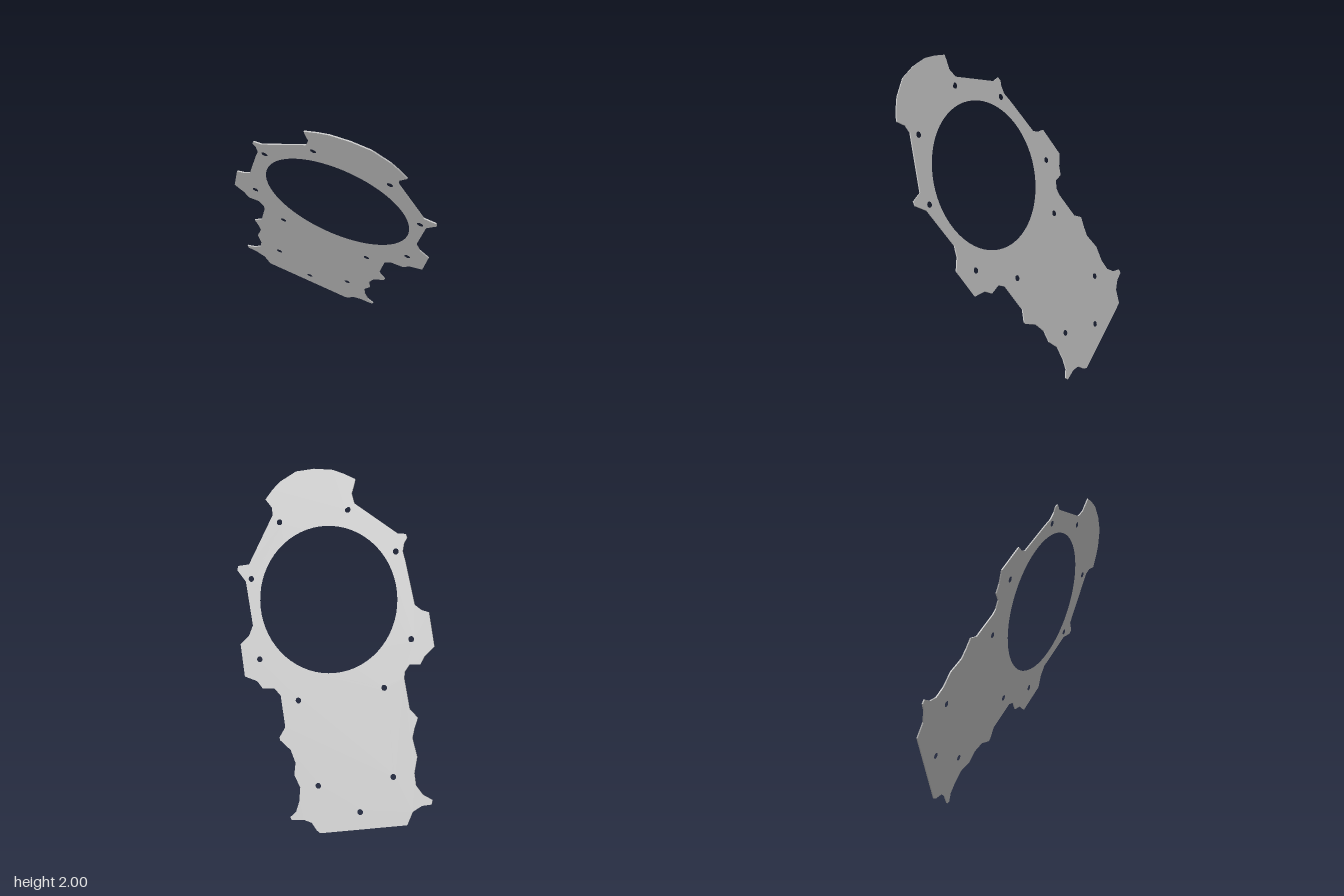
import * as THREE from 'three';

const THICKNESS = 0.008;

// Outline as (z, y) pairs on the tilted plane, running from the top edge down the rear side
const OUTLINE = [
  0.456, 2.0, 0.39, 1.99, 0.31, 1.97, 0.305, 1.94, 0.30, 1.89, 0.265, 1.84,
  -0.03, 1.72, -0.075, 1.725, -0.09, 1.705, -0.085, 1.675, -0.095, 1.63, -0.13, 1.58,
  -0.27, 1.36, -0.315, 1.34, -0.36, 1.335, -0.46, 1.16, -0.43, 1.10, -0.425, 1.05,
  -0.37, 1.04, -0.36, 0.995, -0.37, 0.96, -0.465, 0.80, -0.525, 0.765, -0.53, 0.705,
  -0.54, 0.65, -0.605, 0.555, -0.625, 0.465, -0.66, 0.40, -0.715, 0.36, -0.775, 0.345,
  -0.78, 0.32, -0.735, 0.30, -0.70, 0.255, -0.70, 0.175, -0.26, 0.005, -0.235, 0.015,
  -0.19, 0.05, -0.14, 0.055, -0.075, 0.035, -0.06, 0.05, -0.08, 0.09, -0.075, 0.15,
  -0.05, 0.23, 0.01, 0.29, 0.03, 0.36, 0.085, 0.425, 0.165, 0.465, 0.175, 0.48,
  0.165, 0.545, 0.26, 0.715, 0.31, 0.745, 0.375, 0.73, 0.425, 0.765, 0.505, 0.775,
  0.60, 0.95, 0.57, 1.01, 0.57, 1.07, 0.705, 1.305, 0.78, 1.36, 0.785, 1.385,
  0.725, 1.405, 0.695, 1.70, 0.715, 1.74, 0.77, 1.78, 0.75, 1.84, 0.725, 1.89,
  0.655, 1.96, 0.56, 1.99,
];

// Bolt hole centres as [z, y]
const BOLT_HOLES = [
  [0.287, 1.80], [0.64, 1.668], [-0.06, 1.623], [0.68, 1.327], [-0.325, 1.175], [0.457, 0.89],
  [-0.287, 0.885], [0.15, 0.71], [-0.525, 0.417], [-0.145, 0.265], [-0.427, 0.18],
];

// Tilted plane: x = 0.5025 - 0.53 y + 0.514 z
const normal = new THREE.Vector3(1, 0.53, -0.514).normalize();
const axisU = new THREE.Vector3(0, 1, 0).cross(normal).normalize();
const axisV = normal.clone().cross(axisU);
const origin = new THREE.Vector3(0.5025, 0, 0);

function toPlane(z, y) {
  const p = new THREE.Vector3(-0.53 * y + 0.514 * z, y, z);
  return new THREE.Vector2(p.dot(axisU), p.dot(axisV));
}

function roundHole(z, y, radius) {
  const c = toPlane(z, y);
  return new THREE.Path().absarc(c.x, c.y, radius, 0, Math.PI * 2, true);
}

export function createModel() {
  const group = new THREE.Group();
  group.name = 'mountingPlate';
  const grey = new THREE.MeshStandardMaterial({ color: 0xc0c0c0 });
  grey.name = 'light grey';

  // Flat plate with one large opening and a ring of bolt holes
  const points = [];
  for (let i = 0; i < OUTLINE.length; i += 2) points.push(toPlane(OUTLINE[i], OUTLINE[i + 1]));
  const shape = new THREE.Shape(points);
  shape.holes.push(roundHole(0.207, 1.295, 0.449));
  for (const [z, y] of BOLT_HOLES) shape.holes.push(roundHole(z, y, 0.018));

  const geometry = new THREE.ExtrudeGeometry(shape, {
    depth: THICKNESS, bevelEnabled: false, curveSegments: 32,
  });
  geometry.translate(0, 0, -THICKNESS / 2);

  // Lean the plate into its tilted plane
  geometry.applyMatrix4(new THREE.Matrix4().makeBasis(axisU, axisV, normal).setPosition(origin));

  const plate = new THREE.Mesh(geometry, grey);
  plate.name = 'plate';
  group.add(plate);
  return group;
}
